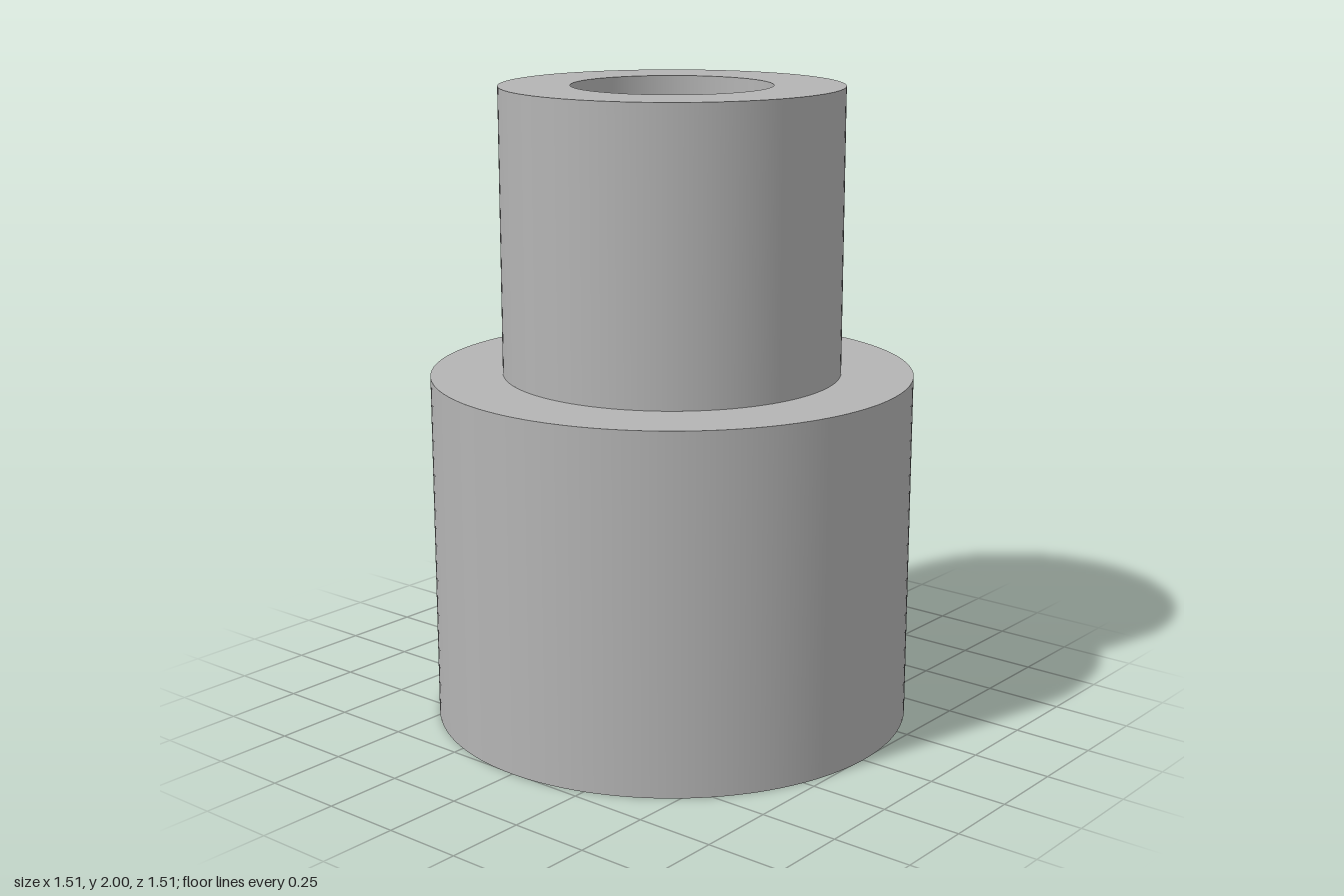
import * as THREE from 'three';
import { ParametricGeometry } from 'three/addons/geometries/ParametricGeometry.js';

const TAU = Math.PI * 2;
const PATCH = 0.15; // half-size of the square wall patch around a screw hole

export function createModel() {
  const group = new THREE.Group();
  const steel = new THREE.MeshStandardMaterial({ color: 0xb4b4b4 });

  const add = (name, geometry) => {
    const mesh = new THREE.Mesh(geometry, steel);
    mesh.name = name;
    group.add(mesh);
  };

  // Surface of revolution between two profile points (upwards faces outwards)
  const band = (name, r0, y0, r1, y1, start = 0, length = TAU) => {
    const points = [new THREE.Vector2(r0, y0), new THREE.Vector2(r1, y1)];
    const segments = Math.max(8, Math.round((128 * length) / TAU));
    add(name, new THREE.LatheGeometry(points, segments, start, length));
  };

  const onBack = (radius, x, y, target) => target.set(x, y, -Math.sqrt(radius * radius - x * x));

  // Cylindrical wall with a round hole at the back
  const drilledWall = (name, radius, y0, y1, hole, inward) => {
    const a = Math.asin(PATCH / radius);
    const strip = (lo, hi, start, length) =>
      inward ? band(name, radius, hi, radius, lo, start, length)
             : band(name, radius, lo, radius, hi, start, length);
    strip(y0, y1, Math.PI + a, TAU - 2 * a);
    strip(y0, hole.y - PATCH, Math.PI - a, 2 * a);
    strip(hole.y + PATCH, y1, Math.PI - a, 2 * a);
    // Square patch blending from the hole rim to its straight border
    add(name, new ParametricGeometry((u, v, target) => {
      const angle = (inward ? -u : u) * TAU;
      const c = Math.cos(angle), s = Math.sin(angle);
      const border = PATCH / Math.max(Math.abs(c), Math.abs(s));
      const d = hole.r + (border - hole.r) * v;
      onBack(radius, c * d, hole.y + s * d, target);
    }, 64, 5));
  };

  // Tunnel of the screw hole, from the outer wall to the bore
  const tunnel = (name, hole, outer, inner) => {
    const p = new THREE.Vector3(), q = new THREE.Vector3();
    add(name, new ParametricGeometry((u, v, target) => {
      const x = Math.cos(u * TAU) * hole.r, y = hole.y + Math.sin(u * TAU) * hole.r;
      onBack(outer, x, y, p);
      onBack(inner, x, y, q);
      target.lerpVectors(q, p, v);
    }, 64, 1));
  };

  const base = { outer: 0.755, inner: 0.545, top: 1.11, boreTop: 0.89, hole: { y: 0.445, r: 0.078 } };
  const neck = { outer: 0.53, inner: 0.31, top: 2, hole: { y: 1.558, r: 0.09 } };

  // Wide base sleeve
  drilledWall('baseOuterWall', base.outer, 0, base.top, base.hole, false);
  drilledWall('baseBore', base.inner, 0, base.boreTop, base.hole, true);
  tunnel('baseScrewHole', base.hole, base.outer, base.inner);
  band('baseBottomRim', base.inner, 0, base.outer, 0);
  band('shoulder', base.outer, base.top, neck.outer, base.top);
  band('boreStep', neck.inner, base.boreTop, base.inner, base.boreTop);

  // Narrow neck sleeve
  drilledWall('neckOuterWall', neck.outer, base.top, neck.top, neck.hole, false);
  drilledWall('neckBore', neck.inner, base.boreTop, neck.top, neck.hole, true);
  tunnel('neckScrewHole', neck.hole, neck.outer, neck.inner);
  band('neckTopRim', neck.outer, neck.top, neck.inner, neck.top);

  return group;
}
